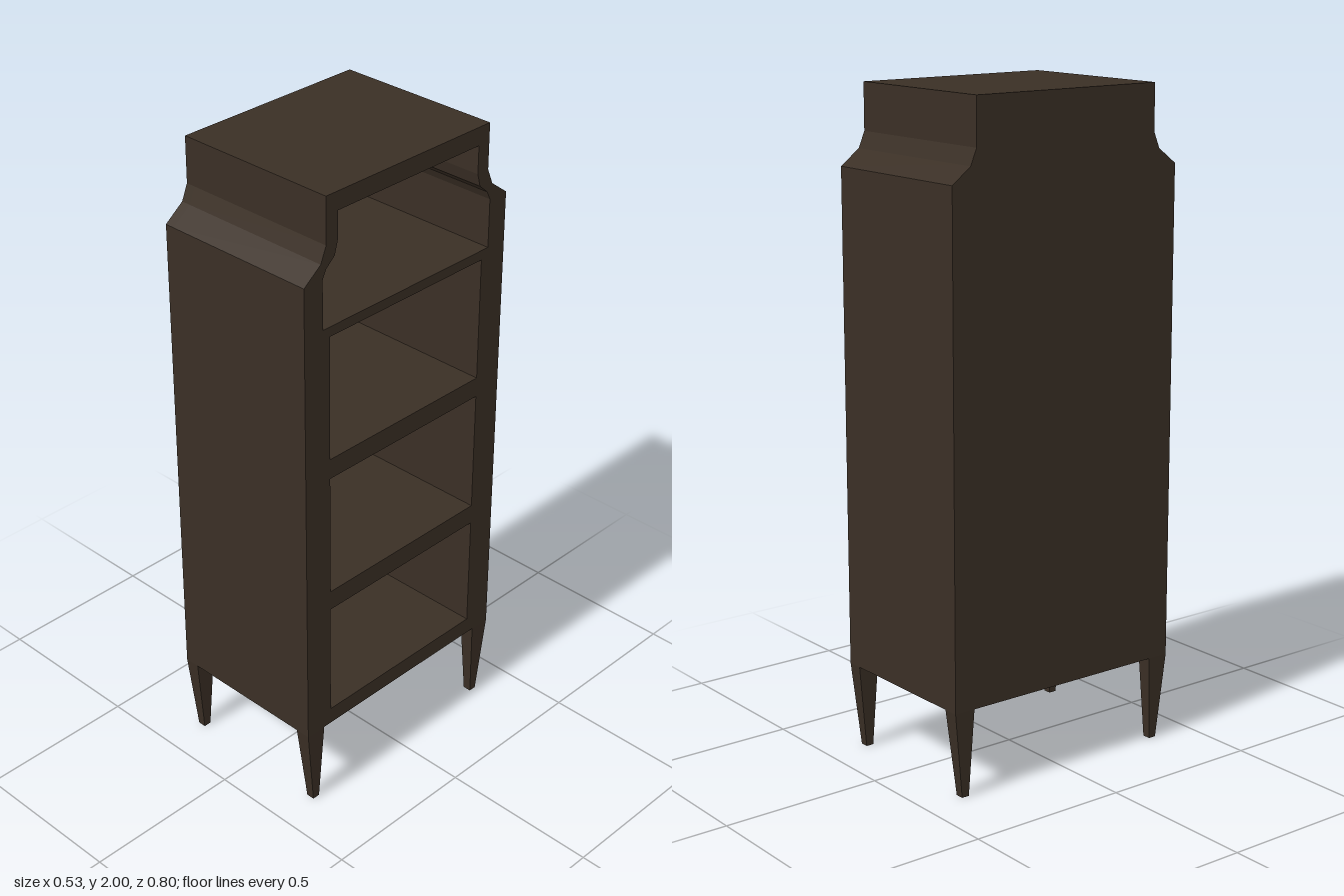
import * as THREE from 'three';

const darkWood = new THREE.MeshStandardMaterial({ color: 0x3a2f25 });
darkWood.name = 'darkWood';

// Mirrored outline from a half profile of [z, y] points, listed bottom to top
function mirroredPoints(half) {
  const right = half.map(([z, y]) => new THREE.Vector2(z, y));
  const left = half.map(([z, y]) => new THREE.Vector2(-z, y)).reverse();
  return [...right, ...left];
}

const outline = [[0.4, 0.265], [0.4, 1.765], [0.338, 1.812], [0.318, 1.86], [0.318, 2]];
const topOpening = [[0.331, 1.615], [0.331, 1.765], [0.318, 1.792], [0.286, 1.82], [0.275, 1.86], [0.275, 1.945]];
const shelfOpenings = [[0.318, 0.685], [0.748, 1.135], [1.198, 1.585]];

// Extrudes the outline along x, from x0 to x1
function slab(name, holes, x0, x1) {
  const shape = new THREE.Shape(mirroredPoints(outline));
  for (const hole of holes) shape.holes.push(new THREE.Path(mirroredPoints(hole).reverse()));
  const geometry = new THREE.ExtrudeGeometry(shape, { depth: x1 - x0, bevelEnabled: false });
  geometry.rotateY(Math.PI / 2).translate(x0, 0, 0);
  const mesh = new THREE.Mesh(geometry, darkWood);
  mesh.name = name;
  return mesh;
}

// Four-sided leg tapering towards the floor; sx and sz choose the corner
function leg(sx, sz) {
  const height = 0.265;
  const geometry = new THREE.BoxGeometry(1, height, 1);
  const p = geometry.attributes.position;
  for (let i = 0; i < p.count; i++) {
    const top = p.getY(i) > 0;
    const cx = top ? 0.241 : 0.242, wx = top ? 0.048 : 0.026;
    const cz = top ? 0.3665 : 0.359, wz = top ? 0.067 : 0.024;
    p.setXYZ(i, sx * cx + p.getX(i) * wx, top ? height : 0, sz * cz + p.getZ(i) * wz);
  }
  geometry.computeVertexNormals();
  const mesh = new THREE.Mesh(geometry, darkWood);
  mesh.name = `${sz > 0 ? 'front' : 'back'}${sx > 0 ? 'Left' : 'Right'}Leg`;
  return mesh;
}

export function createModel() {
  const model = new THREE.Group();
  model.name = 'bookcase';

  // Carcass with four open compartments facing +x, closed by a panel on the other side
  const compartments = shelfOpenings.map(([y0, y1]) => [[0.305, y0], [0.305, y1]]);
  model.add(slab('shelfCarcass', [...compartments, topOpening], -0.235, 0.265));
  model.add(slab('closingPanel', [], -0.265, -0.235));

  // Tapered legs
  for (const sx of [1, -1]) for (const sz of [1, -1]) model.add(leg(sx, sz));

  return model;
}
